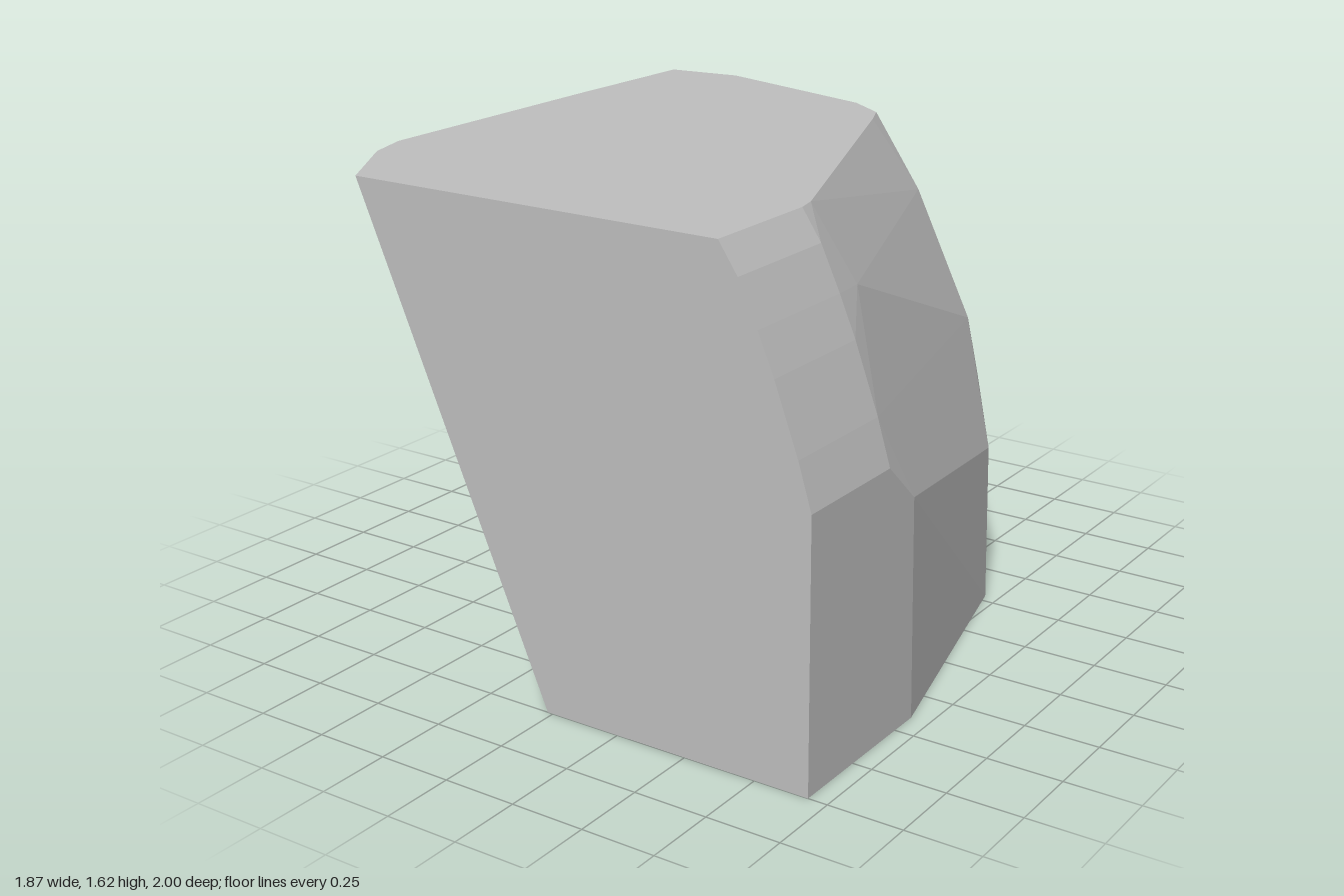
import * as THREE from 'three';
import { ConvexGeometry } from 'three/addons/geometries/ConvexGeometry.js';

const HEIGHT = 1.617;

// Outlines of the flat ends as [x, z]
const foot = [
  [-0.02, 1], [0.935, 1], [0.935, 0.4], [0.7, -0.54], [0.59, -0.74],
  [0.38, -0.82], [0.165, -0.8], [-0.025, -0.71], [-0.1, -0.53], [-0.115, 0.58],
];
const crown = [
  [-0.71, 1], [0.625, 1], [0.625, 0.57], [0.61, 0.5], [0.17, -0.6], [0.12, -0.71],
  [-0.02, -0.81], [-0.66, -1], [-0.925, -0.97], [-0.935, -0.4], [-0.935, 0.56], [-0.89, 0.71],
];
// Rounded shoulder of the front as [x, y], straight from z = 1 to z = 0.57
const shoulder = [[0.935, 0.88], [0.89, 1.03], [0.81, 1.25], [0.755, 1.38], [0.69, 1.52]];
// Bulge of the side and of the rear corner as [x, y, z]
const bulge = [
  [0.935, 0.74, 0.42], [0.73, 1.37, 0.43],
  [0.69, 0.55, -0.54], [0.585, 0.35, -0.735], [0.55, 0.74, -0.71],
  [0.52, 0.95, -0.68], [0.3, 1.37, -0.7],
];

export function createModel() {
  const stone = new THREE.MeshStandardMaterial({ color: 0xbfbfbf });
  stone.name = 'plain grey';

  const corners = [
    ...foot.map(([x, z]) => new THREE.Vector3(x, 0, z)),
    ...crown.map(([x, z]) => new THREE.Vector3(x, HEIGHT, z)),
    ...bulge.map((p) => new THREE.Vector3(...p)),
  ];
  for (const z of [1, 0.57]) {
    for (const [x, y] of shoulder) corners.push(new THREE.Vector3(x, y, z));
  }

  // One solid leaning block wrapped around all its corners
  const block = new THREE.Mesh(new ConvexGeometry(corners), stone);
  block.name = 'leaningBlock';

  const model = new THREE.Group();
  model.name = 'facetedBlock';
  model.add(block);
  return model;
}
